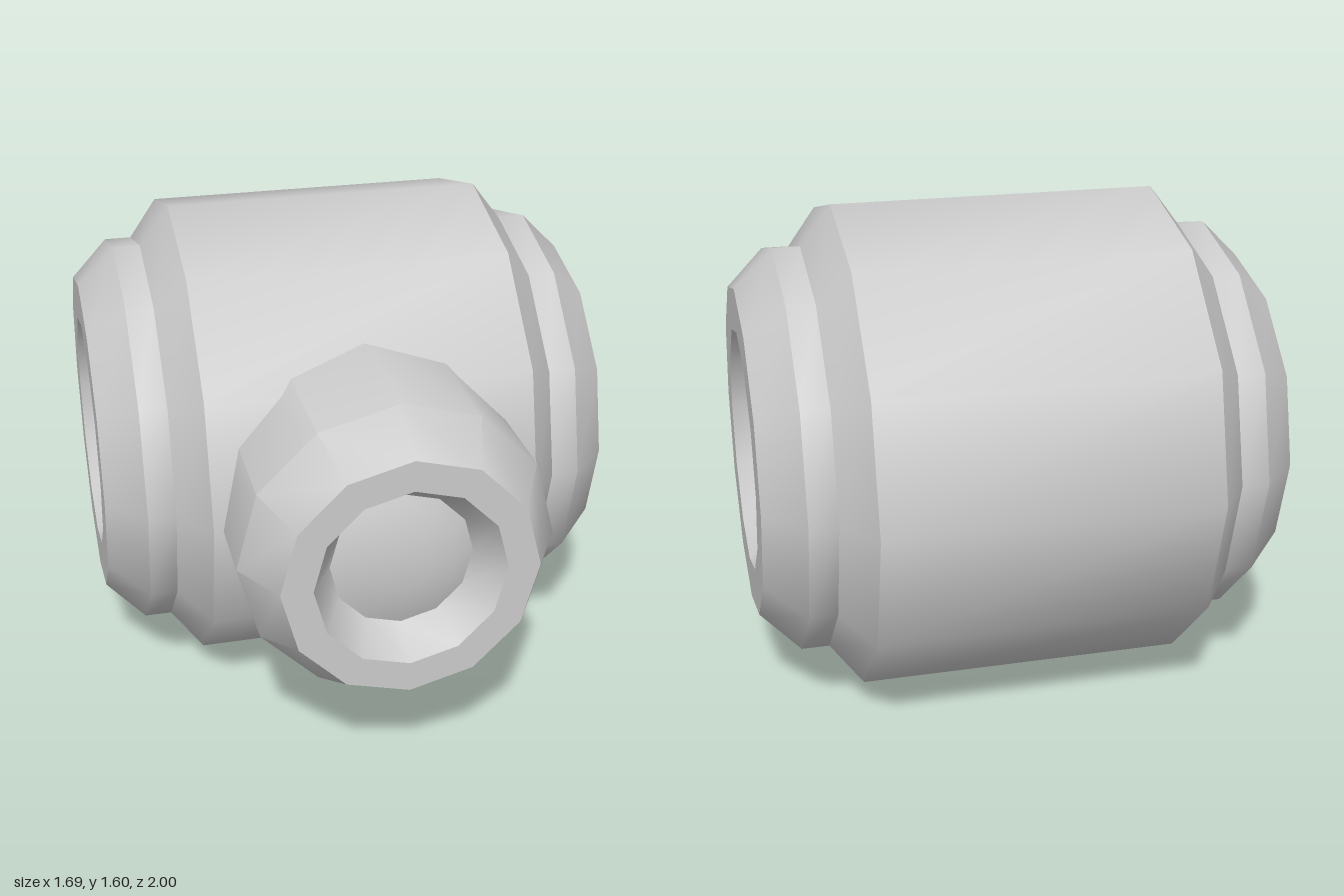
import * as THREE from 'three';
import { toCreasedNormals } from 'three/addons/utils/BufferGeometryUtils.js';

const SIDES = 12;

// Twelve-sided turned solid: smooth around, sharp at steep profile corners
function turned(name, profile, material) {
  const points = profile.map(([r, h]) => new THREE.Vector2(r, h));
  const geometry = toCreasedNormals(new THREE.LatheGeometry(points, SIDES), 0.62);
  const mesh = new THREE.Mesh(geometry, material);
  mesh.name = name;
  return mesh;
}

export function createModel() {
  const group = new THREE.Group();
  group.name = 'teeFitting';
  const material = new THREE.MeshStandardMaterial({ color: 0xcccccc });

  // Main barrel with stepped collars and recessed ends, mirrored along its axis
  const half = [
    [0.8, 0.53], [0.67, 0.63], [0.67, 0.72], [0.545, 0.845],
    [0.4, 0.845], [0.335, 0.745], [0, 0.745],
  ];
  const mirrored = half.map(([r, h]) => [r, -h]).reverse();
  const barrel = turned('barrel', [...mirrored, ...half], material);
  barrel.rotation.z = -Math.PI / 2;
  barrel.position.set(0, 0.8, -0.2);
  group.add(barrel);

  // Front branch with chamfered mouth and tapered recess
  const branch = turned('frontBranch', [
    [0, 0.1], [0.5, 0.1], [0.5, 0.83], [0.4, 1], [0.3, 1], [0.225, 0.88],
  ], material);

  // Shallow dome closing the branch recess
  const dome = turned('branchDome', [
    [0.225, 0.88], [0.17, 0.9], [0.09, 0.915], [0, 0.92],
  ], material);

  for (const part of [branch, dome]) {
    part.rotation.x = Math.PI / 2;
    part.position.y = 0.805;
    group.add(part);
  }
  return group;
}
